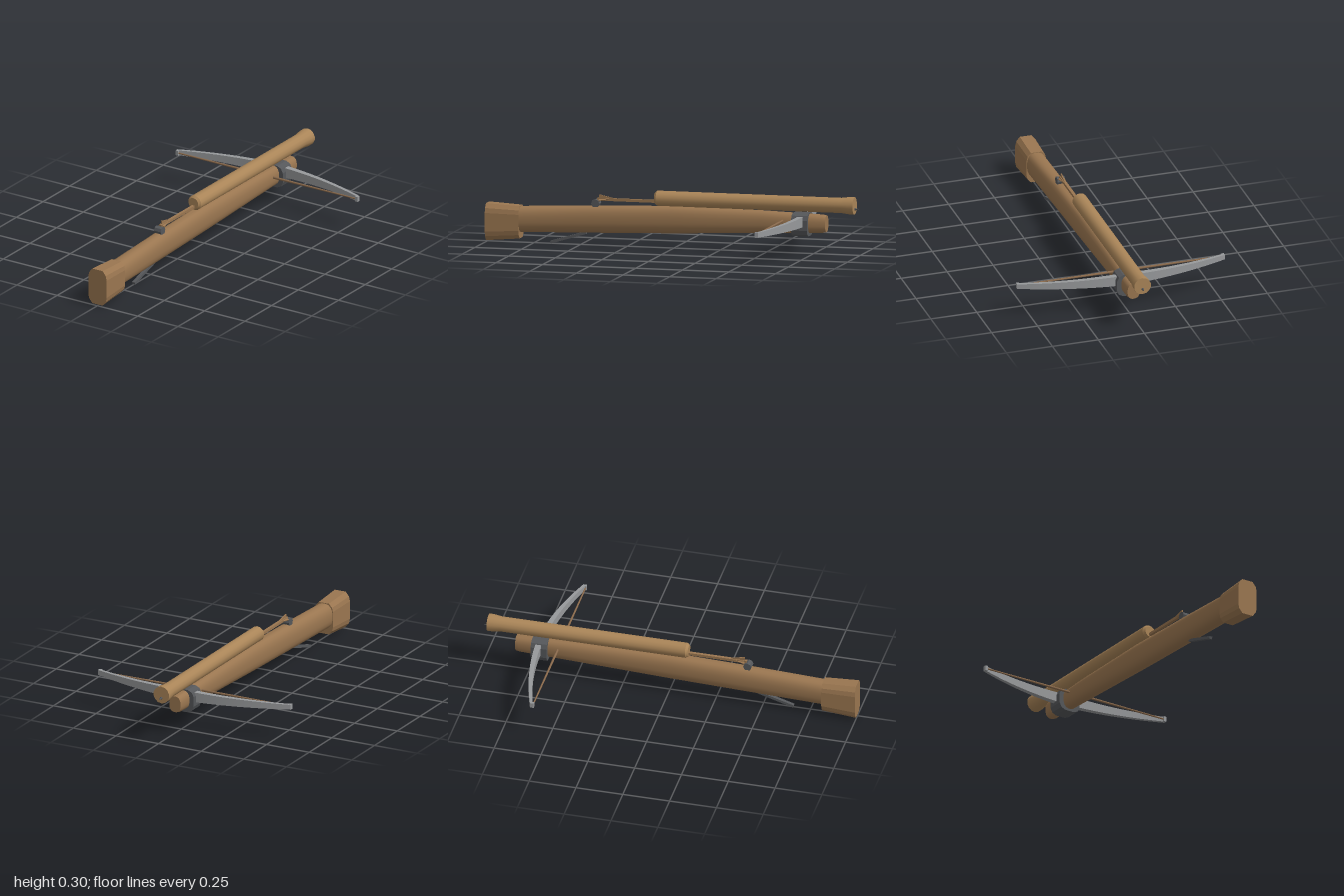
import * as THREE from 'three';
import { toCreasedNormals } from 'three/addons/utils/BufferGeometryUtils.js';

const mat = (color) => new THREE.MeshStandardMaterial({ color });
const wood = mat(0x9a7650), paleWood = mat(0xaa8558), steel = mat(0x97999b), iron = mat(0x55575a), cord = mat(0x8a6a4c);

// Unit outline made of n points; a higher power gives a boxier oval
function oval(n, power) {
  const signedPow = (v) => Math.sign(v) * Math.abs(v) ** (2 / power);
  return Array.from({ length: n }, (_, i) => {
    const a = ((i + 0.5) / n) * Math.PI * 2;
    return [signedPow(Math.cos(a)), signedPow(Math.sin(a))];
  });
}

// Skins an outline through sections [z, halfWidth, bottom, top], z ascending
function loft(outline, sections, crease) {
  const n = outline.length, last = sections.length - 1, pos = [], index = [];
  for (const [z, w, y0, y1] of sections)
    for (const [u, v] of outline) pos.push(u * w, (y0 + y1) / 2 + (v * (y1 - y0)) / 2, z);
  for (let s = 0; s < last; s++)
    for (let j = 0; j < n; j++) {
      const a = s * n + j, b = s * n + ((j + 1) % n);
      index.push(a, b, a + n, b, b + n, a + n);
    }
  for (let j = 1; j < n - 1; j++)
    index.push(0, j + 1, j, last * n, last * n + j, last * n + j + 1);
  const g = new THREE.BufferGeometry();
  g.setAttribute('position', new THREE.Float32BufferAttribute(pos, 3));
  g.setIndex(index);
  return toCreasedNormals(g, crease);
}

// Box or cylinder stretched between two points in the x = 0 plane
function bar(w, h, z0, y0, z1, y1) {
  const g = new THREE.BoxGeometry(w, h, Math.hypot(z1 - z0, y1 - y0));
  g.rotateX(-Math.atan2(y1 - y0, z1 - z0));
  return g.translate(0, (y0 + y1) / 2, (z0 + z1) / 2);
}

export function createModel() {
  const model = new THREE.Group();
  const add = (name, geometry, material) => {
    const mesh = new THREE.Mesh(geometry, material);
    mesh.name = name;
    model.add(mesh);
    return mesh;
  };

  // Long tapering stock with a softened nose
  add('stock', loft(oval(20, 2.5), [
    [-0.82, 0.033, 0.117, 0.204], [-0.8, 0.037, 0.113, 0.208], [-0.47, 0.041, 0.1, 0.218],
    [0, 0.043, 0.08, 0.222], [0.43, 0.046, 0.067, 0.209], [0.84, 0.051, 0.056, 0.19],
  ], 0.7), wood);

  // Faceted shoulder butt
  const quarter = [[1, 0.5], [0.9, 0.76], [0.56, 1]];
  const flip = [...quarter].reverse();
  const buttOutline = [
    ...quarter, ...flip.map(([u, v]) => [-u, v]),
    ...quarter.map(([u, v]) => [-u, -v]), ...flip.map(([u, v]) => [u, -v]),
  ];
  add('butt', loft(buttOutline, [[0.82, 0.053, 0.025, 0.194], [1, 0.057, 0.01, 0.204]], 0.2), wood);

  // Round tube above the stock with a flared mouth
  const tubeProfile = [
    [0, -0.1], [0.03, -0.1], [0.04, -0.088], [0.04, 0.9], [0.046, 0.945], [0.046, 0.97], [0, 0.97],
  ].map(([r, y]) => new THREE.Vector2(r, y));
  const tube = new THREE.LatheGeometry(tubeProfile, 14);
  tube.rotateX(-Math.PI / 2).translate(0, 0.26, 0);
  add('tube', toCreasedNormals(tube, 0.6), paleWood);

  // Bolt: shaft, tail fin and point
  add('boltShaft', bar(0.016, 0.014, 0.41, 0.243, -0.965, 0.243), wood);
  const point = new THREE.ConeGeometry(0.009, 0.03, 6);
  point.rotateX(-Math.PI / 2).translate(0, 0.243, -0.98);
  add('boltPoint', point, iron);
  const finShape = new THREE.Shape([[0.31, 0.248], [0.4, 0.248], [0.4, 0.268]].map(([z, y]) => new THREE.Vector2(-z, y)));
  const fin = new THREE.ExtrudeGeometry(finShape, { depth: 0.006, bevelEnabled: false });
  fin.translate(0, 0, -0.003).rotateY(Math.PI / 2);
  add('boltFin', fin, wood);
  for (const side of [-1, 1]) {
    const vane = fin.clone().translate(0, -0.248, 0).rotateZ(side * 2.1).translate(0, 0.246, 0);
    add('boltFin', vane, wood);
  }

  // String catch and trigger lever
  const nut = new THREE.CylinderGeometry(0.022, 0.022, 0.042, 8);
  nut.rotateZ(Math.PI / 2).translate(0, 0.222, 0.417);
  add('stringCatch', toCreasedNormals(nut, 0.3), iron);
  add('trigger', bar(0.018, 0.014, 0.47, 0.066, 0.66, 0.009), iron);

  // Iron collar clamping the bow to the stock
  add('collar', loft(oval(12, 3.2), [
    [-0.73, 0.063, 0.093, 0.216], [-0.645, 0.063, 0.093, 0.216],
  ], 0.4), iron);

  // Bow: a bar bent back and thinned toward its tips
  const half = 0.565;
  const bow = new THREE.BoxGeometry(half * 2, 1, 1, 28, 1, 1);
  const p = bow.attributes.position;
  for (let i = 0; i < p.count; i++) {
    const t = Math.abs(p.getX(i)) / half;
    p.setY(i, 0.172 + p.getY(i) * (0.056 - 0.03 * t));
    p.setZ(i, -0.692 + 0.094 * t * t + p.getZ(i) * (0.032 - 0.016 * t));
  }
  add('bow', toCreasedNormals(bow, 0.5), steel);
  for (const side of [-1, 1]) {
    const tip = new THREE.BoxGeometry(0.016, 0.027, 0.02);
    tip.translate(side * 0.557, 0.172, -0.596);
    add('bowTip', tip, steel);

    // Half of the string, thickest in the middle
    const string = new THREE.CylinderGeometry(0.004, 0.007, 0.555, 8);
    string.rotateZ(-side * Math.PI / 2).translate(side * 0.2775, 0.172, -0.592);
    add('string', string, cord);
  }
  return model;
}
